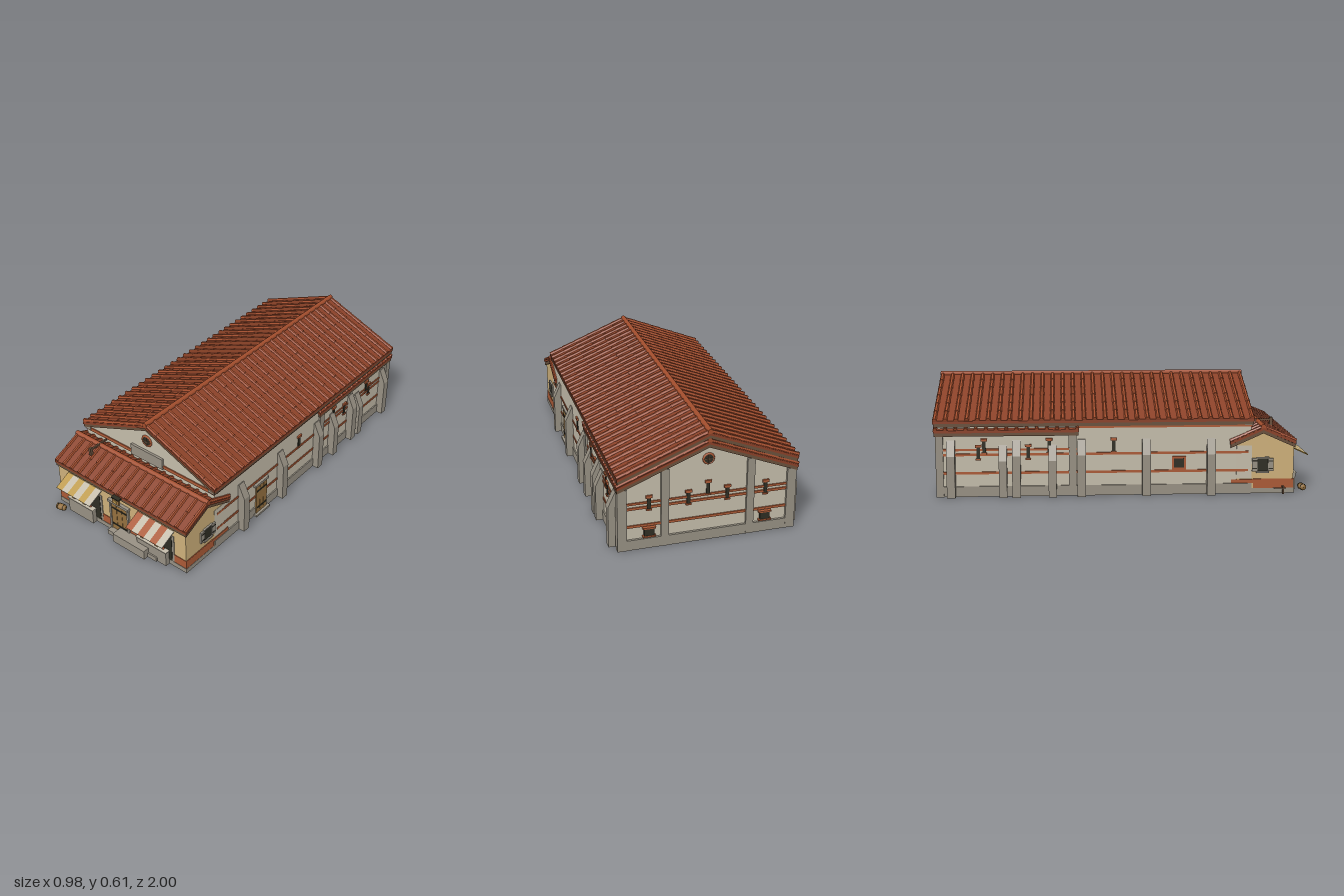
import * as THREE from 'three';
import { mergeGeometries } from 'three/addons/utils/BufferGeometryUtils.js';

const mat = (name, color) => Object.assign(new THREE.MeshStandardMaterial({ color }), { name });
const M = {
  plaster: mat('pale plaster', 0xc4bcaa),
  stone: mat('grey stone', 0x979083),
  ochre: mat('ochre plaster', 0xcdb07a),
  brick: mat('red brick', 0xab5a36),
  tile: mat('roof tile', 0xa34e2d),
  pan: mat('dark roof tile', 0x8a4128),
  timber: mat('dark timber', 0x69503c),
  wood: mat('wood', 0x94703f),
  dark: mat('dark opening', 0x2e2d23),
  mustard: mat('mustard cloth', 0xbd9a4c),
};

function add(parent, name, geometry, material, x = 0, y = 0, z = 0) {
  const mesh = new THREE.Mesh(geometry, material);
  mesh.name = name;
  mesh.position.set(x, y, z);
  parent.add(mesh);
  return mesh;
}

// Box given by its ranges along each axis
function box(parent, name, material, x0, x1, y0, y1, z0, z1) {
  return add(parent, name, new THREE.BoxGeometry(x1 - x0, y1 - y0, z1 - z0), material,
    (x0 + x1) / 2, (y0 + y1) / 2, (z0 + z1) / 2);
}

// Cross-section in x, y drawn out along z
function prism(parent, name, material, points, z0, z1) {
  const shape = new THREE.Shape(points.map(p => new THREE.Vector2(...p)));
  const geo = new THREE.ExtrudeGeometry(shape, { depth: z1 - z0, bevelEnabled: false });
  return add(parent, name, geo, material, 0, 0, z0);
}

const chevron = (w, apex, eave, t) =>
  [[-w, eave - t], [0, apex - t], [w, eave - t], [w, eave], [0, apex], [-w, eave]];

// Gable roof with its ridge along z, centred on z = 0
function tiledRoof(name, w, apex, eave, length, columns, rows, r) {
  const g = new THREE.Group();
  g.name = name;
  prism(g, 'roofPans', M.pan, chevron(w, apex, eave, 0.014), -length / 2, length / 2);
  prism(g, 'roofBoards', M.timber, chevron(w - 0.003, apex - 0.0141, eave - 0.0141, 0.018), -length / 2 + 0.004, length / 2 - 0.004);
  const slope = Math.atan2(apex - eave, w);
  const rowLen = Math.hypot(w, apex - eave) / rows;
  const covers = [], steps = [];
  for (const side of [-1, 1]) {
    for (let i = 0; i < rows; i++) {
      const f = (i + 0.5) / rows;
      const place = (geo, z, lift) => geo.rotateZ(side * (Math.PI / 2 - slope))
        .translate(side * w * f, apex + (eave - apex) * f + lift, z);
      const step = new THREE.BoxGeometry(0.004, rowLen, length - 0.004);
      step.rotateZ(-side * 0.03);
      steps.push(place(step, 0, 0.002));
      for (let c = 0; c <= columns; c++) {
        const z = (c / columns - 0.5) * (length - 2 * r);
        const cover = new THREE.CylinderGeometry(r, r * 0.82, rowLen * 1.02, 6);
        // wide end points down the slope
        cover.rotateX(Math.PI);
        covers.push(place(cover, z, 0.005));
      }
    }
  }
  add(g, 'panRows', mergeGeometries(steps), M.pan);
  add(g, 'coverTiles', mergeGeometries(covers).toNonIndexed(), M.tile).geometry.computeVertexNormals();
  add(g, 'ridgeCap', new THREE.CylinderGeometry(0.014, 0.014, length, 8).rotateX(Math.PI / 2), M.tile, 0, apex + 0.005, 0);
  return g;
}

// Round window facing +z
function roundWindow(parent, x, y, z, r) {
  const g = new THREE.Group();
  g.name = 'roundWindow';
  g.position.set(x, y, z);
  add(g, 'glass', new THREE.CylinderGeometry(r, r, 0.008, 20).rotateX(Math.PI / 2), M.dark);
  add(g, 'brickRing', new THREE.TorusGeometry(r, r * 0.22, 6, 20), M.brick);
  box(g, 'barAcross', M.timber, -r, r, -0.002, 0.002, 0, 0.007);
  box(g, 'barUpright', M.timber, -0.002, 0.002, -r, r, 0, 0.007);
  parent.add(g);
  return g;
}

// Narrow slit facing +z, with brick lintel and sill
function slit(parent, x, y, z) {
  const g = new THREE.Group();
  g.name = 'slitWindow';
  g.position.set(x, y, z);
  box(g, 'slitOpening', M.dark, -0.009, 0.009, -0.036, 0.034, 0, 0.005);
  box(g, 'lintel', M.brick, -0.017, 0.017, 0.026, 0.04, 0, 0.009);
  box(g, 'sill', M.brick, -0.014, 0.014, -0.042, -0.034, 0, 0.009);
  parent.add(g);
}

function plankDoor(parent, w, y0, y1) {
  for (let i = 0; i < 3; i++) {
    const x = -w + (2 * w * i) / 3;
    box(parent, 'doorPlank', M.wood, x + 0.001, x + 2 * w / 3 - 0.001, y0, y1, 0, 0.008);
  }
  for (const f of [0.17, 0.78]) {
    const y = y0 + (y1 - y0) * f;
    box(parent, 'doorStrap', M.dark, -w + 0.005, w - 0.005, y, y + 0.008, 0.006, 0.011);
  }
}

function buildHall(root) {
  const hall = new THREE.Group();
  hall.name = 'hall';
  root.add(hall);
  prism(hall, 'hallWalls', M.plaster, [[-0.45, 0], [0.45, 0], [0.45, 0.375], [0, 0.565], [-0.45, 0.375]], -0.975, 0.675);
  box(hall, 'stonePlinth', M.stone, -0.457, 0.457, 0, 0.055, -0.987, 0.68);
  const roof = tiledRoof('hallRoof', 0.463, 0.592, 0.405, 1.69, 30, 6, 0.012);
  roof.position.z = -0.155;
  const lowRoof = tiledRoof('rearLowerRoof', 0.465, 0.543, 0.356, 0.76, 14, 4, 0.01);
  lowRoof.position.z = -0.617;
  hall.add(roof, lowRoof);

  // Front gable
  roundWindow(hall, 0, 0.49, 0.677, 0.029);
  box(hall, 'gableLedge', M.stone, -0.11, 0.11, 0.36, 0.425, 0.67, 0.688);
  box(hall, 'gableBand', M.brick, -0.452, 0.452, 0.362, 0.382, 0.6, 0.68);
  for (const s of [-1, 1]) box(hall, 'cornerStone', M.stone, s * 0.435 - 0.02, s * 0.435 + 0.02, 0.37, 0.39, 0.64, 0.684);

  // Brick courses
  for (const y of [0.12, 0.218]) box(hall, 'brickCourse', M.brick, -0.454, 0.454, y, y + 0.013, -0.981, 0.66);
  box(hall, 'rearCourse', M.brick, -0.454, 0.454, 0.245, 0.256, -0.981, -0.25);
  box(hall, 'eaveCourse', M.brick, -0.454, 0.454, 0.362, 0.384, -0.24, 0.66);

  // Both long sides; each group faces outwards along its own z
  for (const s of [-1, 1]) {
    const side = new THREE.Group();
    side.name = s > 0 ? 'leftSide' : 'rightSide';
    side.rotation.y = s * Math.PI / 2;
    hall.add(side);
    const put = z => -s * z;
    const buttress = (z, w, top) => {
      const b = prism(hall, 'buttress', M.stone,
        [[0.44, 0], [0.492, 0], [0.492, top - 0.08], [0.455, top], [0.44, top]], -w / 2, w / 2);
      b.position.z = s > 0 ? z - w / 2 : z + w / 2;
      if (s < 0) b.rotation.y = Math.PI;
    };
    for (const z of [0.46, 0.117, -0.225, -0.567, -0.908]) buttress(z, 0.044, 0.302);
    for (const z of [-0.378, -0.637]) buttress(z, 0.042, 0.275);
    for (const z of [-0.272, -0.968]) {
      const x = put(z);
      box(side, 'pilaster', M.stone, x - 0.02, x + 0.02, 0, 0.325, 0.44, 0.46);
    }
    for (const [z, y] of [[-0.055, 0.27], [-0.395, 0.27], [-0.505, 0.238], [-0.735, 0.27], [-0.765, 0.238]]) slit(side, put(z), y, 0.452);
    const bay = new THREE.Group();
    bay.name = s > 0 ? 'sideDoor' : 'sideWindow';
    bay.position.set(put(0.29), 0, 0.453);
    side.add(bay);
    if (s > 0) {
      plankDoor(bay, 0.047, 0.012, 0.2);
      box(bay, 'doorLintel', M.stone, -0.058, 0.058, 0.198, 0.212, -0.01, 0.012);
      box(bay, 'doorStep', M.stone, -0.06, 0.06, 0, 0.012, -0.01, 0.022);
    } else {
      box(bay, 'windowFrame', M.brick, -0.037, 0.037, 0.135, 0.205, -0.01, 0.004);
      box(bay, 'windowOpening', M.dark, -0.026, 0.026, 0.145, 0.195, 0, 0.006);
    }
  }

  // Back wall
  const back = new THREE.Group();
  back.name = 'backWall';
  back.rotation.y = Math.PI;
  hall.add(back);
  for (const [x, h] of [[-0.432, 0.335], [-0.22, 0.42], [0.22, 0.42], [0.432, 0.335]])
    box(back, 'backPilaster', M.stone, x - 0.02, x + 0.02, 0, h, 0.97, 0.988);
  for (const x of [-0.3, -0.1, 0, 0.1, 0.3]) slit(back, x, x === 0 ? 0.29 : 0.25, 0.978);
  for (const x of [-0.3, 0.3]) {
    box(back, 'lowWindow', M.dark, x - 0.025, x + 0.025, 0.07, 0.11, 0.97, 0.99);
    box(back, 'lowWindowSill', M.brick, x - 0.033, x + 0.033, 0.062, 0.07, 0.97, 0.993);
    box(back, 'lowWindowLintel', M.brick, x - 0.033, x + 0.033, 0.108, 0.116, 0.97, 0.993);
  }
  roundWindow(back, 0, 0.446, 0.979, 0.026);
}

function buildShop(root) {
  const shop = new THREE.Group();
  shop.name = 'shop';
  root.add(shop);
  const walls = prism(shop, 'shopWalls', M.ochre, [[-0.905, 0], [-0.6, 0], [-0.6, 0.265], [-0.738, 0.335], [-0.905, 0.255]], -0.451, 0.451);
  walls.position.set(-0.451, 0, 0);
  walls.rotation.y = Math.PI / 2;
  // the part of the hall wall behind the shop's back stays pale
  for (const s of [-1, 1]) box(shop, 'paleReturn', M.plaster, s * 0.4505 - 0.002, s * 0.4505 + 0.002, 0.08, 0.26, 0.598, 0.68);
  box(shop, 'shopPlinth', M.stone, -0.456, 0.456, 0, 0.028, 0.6, 0.91);
  for (const s of [-1, 1]) {
    box(shop, 'brickDado', M.brick, s * 0.41 - 0.044, s * 0.41 + 0.044, 0.028, 0.078, 0.69, 0.908);
    box(shop, 'brickDadoInner', M.brick, s * 0.1 - 0.035, s * 0.1 + 0.035, 0.028, 0.078, 0.89, 0.908);
    box(shop, 'sideDado', M.brick, s * 0.45 - 0.0045, s * 0.45 + 0.0045, 0.056, 0.076, 0.57, 0.9);
    box(shop, 'sideDadoLower', M.brick, s * 0.45 - 0.0045, s * 0.45 + 0.0045, 0.028, 0.076, 0.69, 0.9);
  }
  const roof = tiledRoof('shopRoof', 0.176, 0.357, 0.28, 0.928, 16, 2, 0.011);
  roof.rotation.y = Math.PI / 2;
  roof.position.z = 0.738;
  shop.add(roof);
  box(shop, 'roofPost', M.timber, -0.296, -0.281, 0.34, 0.384, 0.8, 0.818);
  box(shop, 'roofBeam', M.timber, -0.293, -0.284, 0.366, 0.376, 0.69, 0.818);

  // Main door
  const door = new THREE.Group();
  door.name = 'mainDoor';
  door.position.z = 0.905;
  shop.add(door);
  plankDoor(door, 0.056, 0.028, 0.207);
  for (const s of [-1, 1]) box(door, 'doorJamb', M.stone, s * 0.062 - 0.006, s * 0.062 + 0.006, 0, 0.21, -0.01, 0.012);
  box(door, 'doorLintel', M.stone, -0.073, 0.073, 0.207, 0.222, -0.01, 0.018);
  box(door, 'hangingSign', M.wood, -0.024, 0.024, 0.232, 0.264, 0.02, 0.03);
  add(door, 'signDisc', new THREE.CylinderGeometry(0.009, 0.009, 0.004, 12).rotateX(Math.PI / 2), M.mustard, 0, 0.248, 0.031);
  box(door, 'signBracket', M.dark, -0.026, 0.026, 0.266, 0.272, 0, 0.034);

  // Steps
  box(shop, 'lowStep', M.stone, -0.065, 0.28, 0, 0.027, 0.9, 0.945);
  box(shop, 'highStep', M.stone, 0, 0.22, 0, 0.055, 0.9, 0.972);

  // Stalls with counters and striped awnings
  for (const [s, c0, c1, cloth] of [[-1, -0.36, -0.18, M.mustard], [1, 0.14, 0.34, M.brick]]) {
    const stall = new THREE.Group();
    stall.name = s < 0 ? 'rightStall' : 'leftStall';
    shop.add(stall);
    const a = s * 0.252;
    box(stall, 'stallFrame', M.stone, a - 0.122, a + 0.122, 0.028, 0.2, 0.9, 0.909);
    box(stall, 'stallOpening', M.dark, a - 0.109, a + 0.109, 0.03, 0.192, 0.9, 0.911);
    box(stall, 'counter', M.stone, c0, c1, 0, 0.087, 0.9, 0.937);
    box(stall, 'counterTop', M.plaster, c0 - 0.004, c1 + 0.004, 0.087, 0.093, 0.9, 0.941);
    for (let i = 0; i < 6; i++) {
      const stripe = add(stall, 'awningStripe', new THREE.BoxGeometry(0.041, 0.005, 0.105),
        i % 2 ? M.plaster : cloth, a - 0.1025 + i * 0.041, 0.212, 0.952);
      stripe.rotation.x = 0.44;
    }
    box(stall, 'basket', M.wood, c0 + 0.02, c0 + 0.042, 0.093, 0.106, 0.912, 0.93);
    add(stall, 'clayJar', new THREE.CylinderGeometry(0.004, 0.007, 0.018, 8), M.brick, c0 + 0.07, 0.102, 0.92);
    box(stall, 'crate', M.wood, c1 - 0.08, c1 - 0.06, 0.093, 0.106, 0.912, 0.93);
    add(stall, 'smallJar', new THREE.CylinderGeometry(0.004, 0.007, 0.018, 8), M.brick, c1 - 0.03, 0.102, 0.92);
  }

  // Shuttered side windows
  for (const s of [-1, 1]) {
    const win = new THREE.Group();
    win.name = 'shutteredWindow';
    win.position.set(s * 0.451, 0.155, 0.738);
    win.rotation.y = s * Math.PI / 2;
    shop.add(win);
    box(win, 'windowOpening', M.dark, -0.028, 0.028, -0.035, 0.035, 0, 0.005);
    box(win, 'windowSill', M.stone, -0.034, 0.034, -0.044, -0.035, 0, 0.012);
    box(win, 'windowLintel', M.stone, -0.034, 0.034, 0.035, 0.042, 0, 0.01);
    for (const k of [-1, 1]) {
      box(win, 'shutter', M.stone, k * 0.043 - 0.014, k * 0.043 + 0.014, -0.035, 0.035, 0, 0.009);
      for (const y of [-0.022, 0.018]) box(win, 'shutterStrap', M.dark, k * 0.043 - 0.013, k * 0.043 + 0.013, y, y + 0.005, 0.006, 0.011);
    }
  }

  // Barrel lying by the wall, and a small bench
  const barrel = new THREE.Group();
  barrel.name = 'barrel';
  barrel.position.set(-0.396, 0.02, 0.965);
  barrel.rotation.set(0, 0.2, Math.PI / 2);
  shop.add(barrel);
  const profile = [[0, -0.026], [0.015, -0.026], [0.019, 0], [0.015, 0.026], [0, 0.026]];
  add(barrel, 'barrelBody', new THREE.LatheGeometry(profile.map(p => new THREE.Vector2(...p)), 10), M.wood);
  for (const y of [-0.016, 0.016]) add(barrel, 'barrelHoop', new THREE.TorusGeometry(0.0172, 0.0015, 4, 10).rotateX(Math.PI / 2), M.dark, 0, y, 0);
  box(shop, 'benchSeat', M.timber, -0.492, -0.45, 0.034, 0.041, 0.842, 0.852);
  box(shop, 'benchRail', M.timber, -0.486, -0.48, 0.03, 0.036, 0.8, 0.86);
  box(shop, 'benchPost', M.timber, -0.485, -0.479, 0, 0.036, 0.842, 0.85);
}

export function createModel() {
  const root = new THREE.Group();
  root.name = 'marketHall';
  buildHall(root);
  buildShop(root);
  return root;
}
